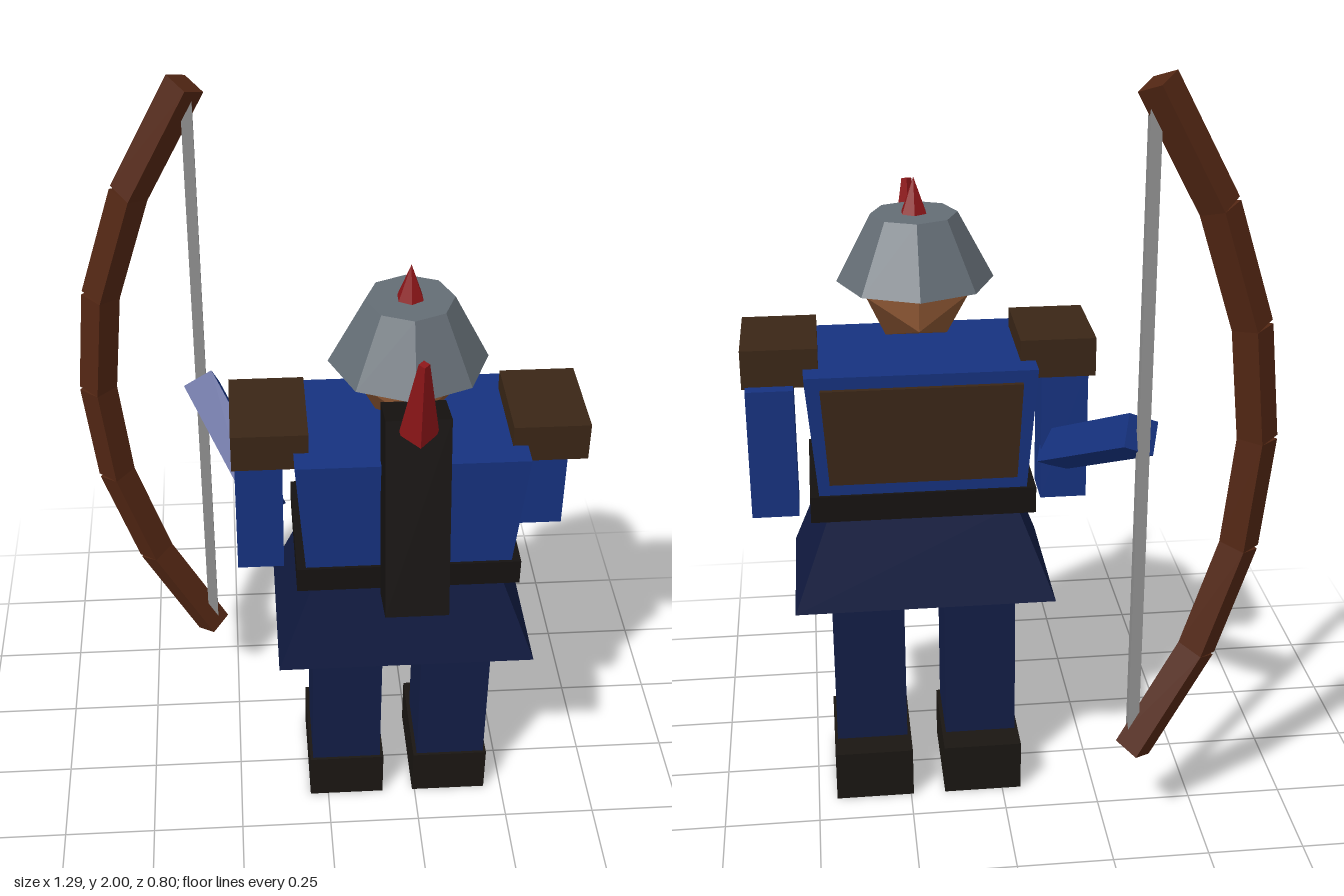
import * as THREE from 'three';

const mat = (color) => new THREE.MeshStandardMaterial({ color, flatShading: true });
const M = {
  boot: mat(0x1a1612), leg: mat(0x121d45), skirt: mat(0x101a40), cloth: mat(0x16327f),
  belt: mat(0x151210), leather: mat(0x3a2616), bow: mat(0x522613), string: mat(0x909090),
  steel: mat(0x646d75), red: mat(0x8c1518), skin: mat(0x8a5532),
};

export function createModel() {
  const model = new THREE.Group();
  model.name = 'archer';
  const CX = 0.2, CZ = 0.025; // body axis

  const add = (name, geometry, material, x, y, z) => {
    const mesh = new THREE.Mesh(geometry, material);
    mesh.name = name;
    mesh.position.set(x, y, z);
    model.add(mesh);
    return mesh;
  };
  const box = (name, material, w, h, d, x, y, z) =>
    add(name, new THREE.BoxGeometry(w, h, d), material, x, y, z);

  // Box whose bottom is scaled relative to its top
  const taperedBox = (name, material, top, bottom, y0, y1, z) => {
    const g = new THREE.BoxGeometry(1, y1 - y0, 1);
    const p = g.attributes.position;
    for (let i = 0; i < p.count; i++) {
      const size = p.getY(i) > 0 ? top : bottom;
      p.setX(i, p.getX(i) * size[0]);
      p.setZ(i, p.getZ(i) * size[1]);
    }
    g.computeVertexNormals();
    return add(name, g, material, CX, (y0 + y1) / 2, z);
  };

  // Straight bar stretched between two points
  const bar = (name, material, a, b, makeGeometry) => {
    const from = new THREE.Vector3(...a), to = new THREE.Vector3(...b);
    const dir = to.clone().sub(from);
    const mid = from.clone().add(to).multiplyScalar(0.5);
    const mesh = add(name, makeGeometry(dir.length()), material, mid.x, mid.y, mid.z);
    mesh.quaternion.setFromUnitVectors(new THREE.Vector3(0, 1, 0), dir.normalize());
    return mesh;
  };

  // Paired parts
  for (const [side, s] of [['left', 1], ['right', -1]]) {
    box(side + 'Boot', M.boot, 0.208, 0.14, 0.296, CX + s * 0.147, 0.07, -0.01);
    box(side + 'Leg', M.leg, 0.19, 0.5, 0.21, CX + s * 0.148, 0.38, CZ);
    box(side + 'ShoulderPad', M.leather, 0.19, 0.1, 0.255, CX + s * 0.346, 1.235, CZ);
  }

  // Trunk
  taperedBox('skirt', M.skirt, [0.477, 0.317], [0.672, 0.434], 0.595, 0.85, CZ);
  taperedBox('torso', M.cloth, [0.577, 0.387], [0.515, 0.35], 0.85, 1.232, CZ);
  box('belt', M.belt, 0.571, 0.07, 0.372, CX, 0.875, CZ);
  taperedBox('chestPlate', M.leather, [0.5, 0.03], [0.47, 0.03], 0.95, 1.2, -0.165);

  // Arms
  box('leftArm', M.cloth, 0.118, 0.34, 0.117, 0.573, 1.02, -0.078);
  box('rightUpperArm', M.cloth, 0.12, 0.37, 0.12, -0.174, 1.005, CZ);
  bar('rightForearm', M.cloth, [-0.15, 0.945, -0.01], [-0.315, 1.12, -0.335],
    (len) => new THREE.BoxGeometry(0.085, len, 0.085));

  // Head and helmet
  add('head', new THREE.IcosahedronGeometry(0.148, 0), M.skin, CX, 1.395, CZ);
  add('helmet', new THREE.CylinderGeometry(0.108, 0.197, 0.17, 8), M.steel, CX, 1.5, CZ);
  add('helmetSpike', new THREE.ConeGeometry(0.042, 0.11, 6), M.red, CX, 1.62, CZ);

  // Quiver with feathered arrow end
  box('quiver', M.belt, 0.157, 0.515, 0.125, CX, 1.143, 0.279).rotation.x = -0.235;
  add('arrowFletching', new THREE.CylinderGeometry(0.013, 0.048, 0.225, 4), M.red,
    CX, 1.483, 0.306).rotation.x = 0.2;

  // Bow: straight diamond-section segments along an arc
  const BZ = -0.355, MID = 1.107;
  const half = [[-0.595, 0], [-0.566, 0.286], [-0.473, 0.576], [-0.318, 0.865]];
  for (const s of [1, -1]) {
    for (let i = 0; i < 3; i++) {
      const [x0, y0] = half[i], [x1, y1] = half[i + 1];
      bar((s > 0 ? 'upper' : 'lower') + 'BowLimb' + (i + 1), M.bow,
        [x0, MID + s * y0, BZ], [x1, MID + s * y1, BZ],
        (len) => new THREE.CylinderGeometry(0.05, 0.05, len, 4));
    }
  }
  box('bowString', M.string, 0.028, 1.66, 0.028, -0.317, MID, -0.35);

  return model;
}
